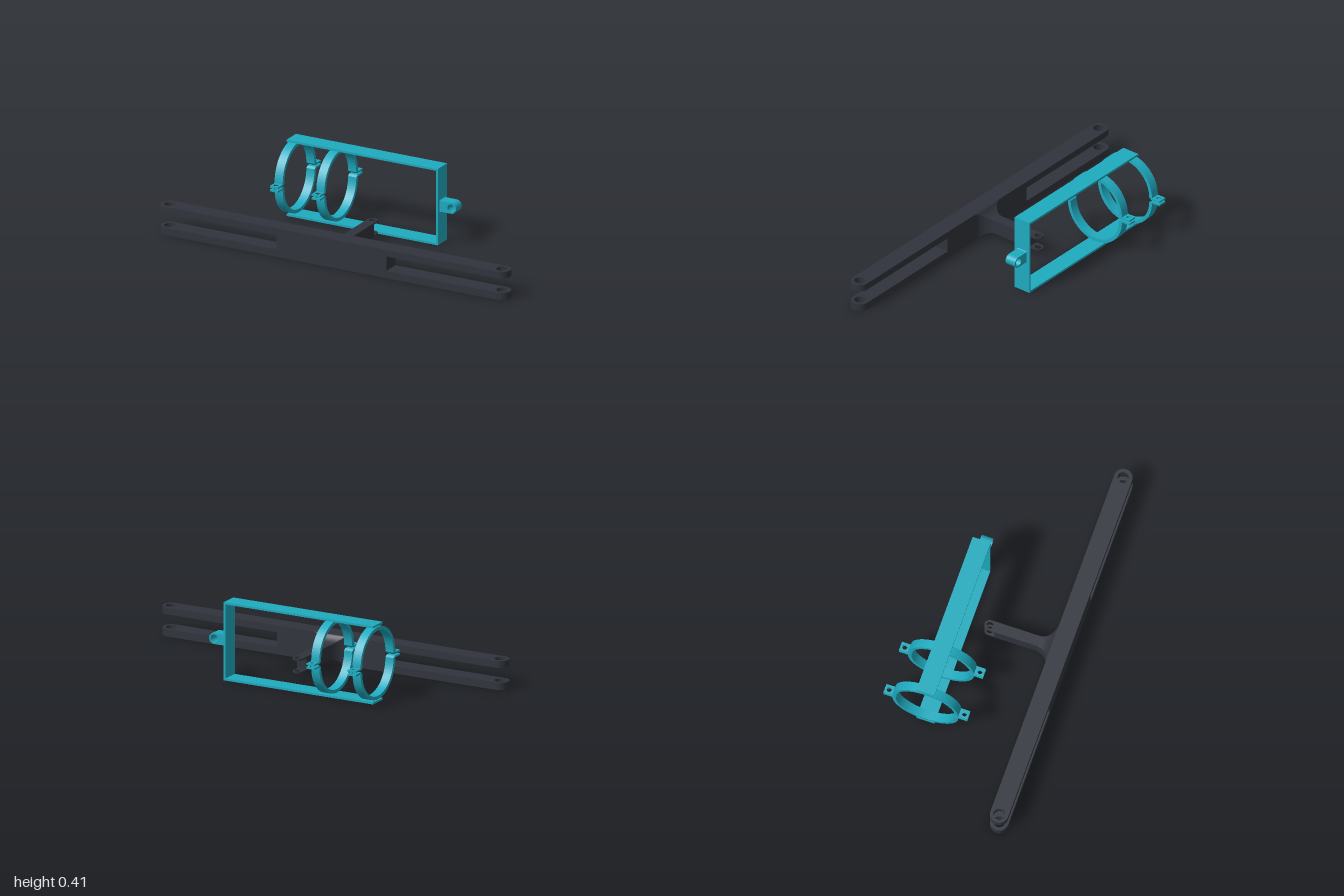
import * as THREE from 'three';

const dark = new THREE.MeshStandardMaterial({ color: 0x30343c });
const teal = new THREE.MeshStandardMaterial({ color: 0x1fabc0 });

function add(parent, name, geometry, material) {
  const mesh = new THREE.Mesh(geometry, material);
  mesh.name = name;
  parent.add(mesh);
  return mesh;
}

function box(parent, name, material, x0, x1, y0, y1, z0, z1) {
  const g = new THREE.BoxGeometry(x1 - x0, y1 - y0, z1 - z0);
  g.translate((x0 + x1) / 2, (y0 + y1) / 2, (z0 + z1) / 2);
  return add(parent, name, g, material);
}

function hole(shape, x, y, r) {
  const path = new THREE.Path();
  path.absarc(x, y, r, 0, Math.PI * 2, true);
  shape.holes.push(path);
}

function extrude(shape, depth) {
  return new THREE.ExtrudeGeometry(shape, { depth, bevelEnabled: false, curveSegments: 24 });
}

// Plan shape (x, -z) raised into a plate between y0 and y1
function plate(parent, name, material, shape, y0, y1) {
  const g = extrude(shape, y1 - y0);
  g.rotateX(-Math.PI / 2).translate(0, y0, 0);
  return add(parent, name, g, material);
}

// Twin bars joined by a centre block, with a forked arm behind
function createBracket() {
  const group = new THREE.Group();
  group.name = 'bracket';
  const z = 0.354, r = 0.047, H = 0.152;

  const bar = new THREE.Shape();
  bar.absarc(1 - r, -z, r, -Math.PI / 2, Math.PI / 2, false);
  bar.absarc(r - 1, -z, r, Math.PI / 2, Math.PI * 1.5, false);
  for (const s of [-1, 1]) hole(bar, s * (1 - r), -z, 0.029);
  plate(group, 'lowerBar', dark, bar, 0, 0.039);
  plate(group, 'upperBar', dark, bar, 0.116, H);
  box(group, 'centreBlock', dark, -0.315, 0.315, 0.039, 0.116, z - r, z + r);

  // Arm root: a box flared along concave arcs towards the block
  const flare = (zz, start) => {
    const d = Math.min(0.08, Math.max(0, zz - start));
    return 0.08 - Math.sqrt(0.0064 - d * d);
  };
  const root = new THREE.BoxGeometry(2, 2, 0.085, 1, 1, 20);
  root.translate(0, 0, 0.265);
  const p = root.attributes.position;
  for (let i = 0; i < p.count; i++) {
    const zz = p.getZ(i);
    p.setX(i, p.getX(i) * (0.028 + flare(zz, 0.227)));
    p.setY(i, H / 2 + p.getY(i) * Math.min(H / 2, 0.038 + flare(zz, 0.237)));
  }
  root.computeVertexNormals();
  add(group, 'armRoot', root, dark);
  box(group, 'arm', dark, -0.028, 0.028, 0.038, 0.114, 0.009, 0.2225);

  // Fork prongs with rounded, drilled tips
  const prong = new THREE.Shape();
  prong.moveTo(-0.028, -0.009);
  prong.lineTo(0.028, -0.009);
  prong.absarc(0, 0.026, 0.028, 0, Math.PI, false);
  prong.closePath();
  hole(prong, 0, 0.026, 0.018);
  plate(group, 'lowerProng', dark, prong, 0.038, 0.047);
  plate(group, 'upperProng', dark, prong, 0.105, 0.114);
  return group;
}

// Half of a split ring, in a frame centred on the ring axis
function createHalfClamp() {
  const half = new THREE.Group();
  half.name = 'halfClamp';
  const R = 0.175, r = 0.157, bottom = 0.0045, top = 0.0145, W = 0.047;
  const arc = new THREE.Shape();
  arc.moveTo(R, bottom);
  arc.absarc(0, top, R, 0, Math.PI, false);
  arc.lineTo(-R, bottom);
  arc.lineTo(-R + 0.006, bottom);
  arc.lineTo(-r, top);
  arc.absarc(0, top, r, Math.PI, 0, true);
  arc.lineTo(R - 0.006, bottom);
  arc.closePath();
  const g = extrude(arc, W);
  g.translate(0, 0, -W / 2).rotateY(Math.PI / 2);
  add(half, 'ringHalf', g, teal);

  // Bolt ears on both sides
  for (const s of [-1, 1]) {
    const a = s * 0.17, b = s * 0.223;
    const ear = new THREE.Shape();
    ear.moveTo(-W / 2, a);
    ear.lineTo(W / 2, a);
    ear.lineTo(W / 2, b);
    ear.lineTo(-W / 2, b);
    ear.closePath();
    hole(ear, 0, s * 0.2, 0.013);
    plate(half, 'boltEar', teal, ear, bottom, top);
  }
  return half;
}

// Open U-shaped frame carrying two split clamps and an end lug
function createFrame() {
  const group = new THREE.Group();
  group.name = 'clampFrame';
  const z0 = -0.227, z1 = -0.131, zc = -0.179, yc = 0.205, H = 0.41, t = 0.011;
  box(group, 'topStrip', teal, -0.55, 0.317, H - t, H, z0, z1);
  box(group, 'bottomStrip', teal, -0.55, 0.317, 0, t, z0, z1);
  box(group, 'endPlate', teal, 0.308, 0.317, t, H - t, z0, z1);

  for (const x of [-0.5265, -0.287]) {
    const clamp = new THREE.Group();
    clamp.name = 'splitClamp';
    clamp.position.set(x, yc, zc);
    const lower = createHalfClamp();
    lower.rotation.x = Math.PI;
    clamp.add(createHalfClamp(), lower);
    group.add(clamp);
  }

  // Lug with a cross hole and a small flare where it meets the plate
  const lug = new THREE.Shape();
  lug.moveTo(0.316, yc - 0.034);
  lug.quadraticCurveTo(0.318, yc - 0.029, 0.325, yc - 0.029);
  lug.absarc(0.383, yc, 0.029, -Math.PI / 2, Math.PI / 2, false);
  lug.lineTo(0.325, yc + 0.029);
  lug.quadraticCurveTo(0.318, yc + 0.029, 0.316, yc + 0.034);
  lug.closePath();
  hole(lug, 0.383, yc, 0.021);
  const g = extrude(lug, 0.06);
  g.translate(0, 0, zc - 0.03);
  add(group, 'endLug', g, teal);
  return group;
}

export function createModel() {
  const model = new THREE.Group();
  model.name = 'clampAssembly';
  model.add(createBracket(), createFrame());
  return model;
}
